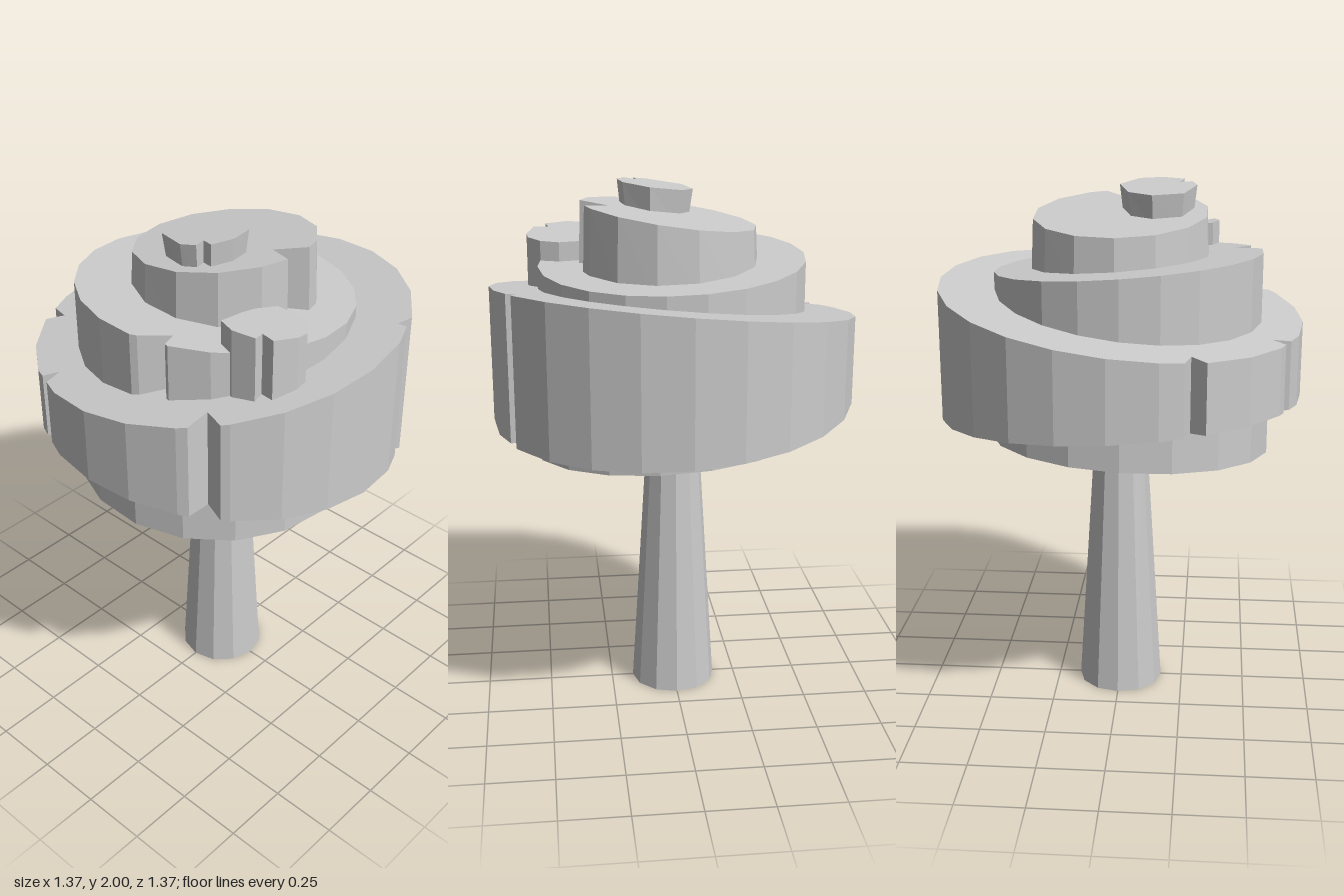
import * as THREE from 'three';

const material = new THREE.MeshStandardMaterial({ color: 0xcccccc, flatShading: true });

// Tilted plane: height at (x, z)
const plane = (y, sx, sz) => (x, z) => y + sx * x + sz * z;

// Regular outline of [x, z] points with V-shaped notches, each [start, tip, end]
function notchedRing(cx, cz, r, sides, notches = []) {
  const angle = ([x, z]) => Math.atan2(z - cz, x - cx);
  const entries = notches.map((n) => ({ a: angle(n[0]), pts: n }));
  for (let i = 0; i < sides; i++) {
    const a = -Math.PI + ((i + 0.001) / sides) * Math.PI * 2;
    if (notches.some((n) => a > angle(n[0]) - 0.02 && a < angle(n[2]) + 0.02)) continue;
    entries.push({ a, pts: [[cx + r * Math.cos(a), cz + r * Math.sin(a)]] });
  }
  return entries.sort((p, q) => p.a - q.a).flatMap((e) => e.pts);
}

// Slab between two tilted planes; flare moves the points of the lower outline
function slab(name, outline, bottom, top, flare = (x, z) => [x, z]) {
  const shape = new THREE.Shape(outline.map(([x, z]) => new THREE.Vector2(x, -z)));
  const geo = new THREE.ExtrudeGeometry(shape, { depth: 1, bevelEnabled: false });
  geo.rotateX(-Math.PI / 2);
  const p = geo.attributes.position;
  for (let i = 0; i < p.count; i++) {
    const x = p.getX(i), z = p.getZ(i);
    if (p.getY(i) > 0.5) p.setY(i, top(x, z));
    else {
      const [fx, fz] = flare(x, z);
      p.setXYZ(i, fx, bottom(x, z), fz);
    }
  }
  geo.computeVertexNormals();
  const mesh = new THREE.Mesh(geo, material);
  mesh.name = name;
  return mesh;
}

const scaleAbout = (cx, cz, s) => (x, z) => [cx + (x - cx) * s, cz + (z - cz) * s];

export function createModel() {
  const group = new THREE.Group();
  group.name = 'layeredTree';

  // Tapered trunk
  const trunk = new THREE.Mesh(new THREE.CylinderGeometry(0.1, 0.165, 1.06, 12), material);
  trunk.position.y = 0.53;
  trunk.name = 'trunk';
  group.add(trunk);

  // Underside layer
  group.add(slab('lowerCrown', notchedRing(0.005, 0.035, 0.535, 18),
    plane(1.02, -0.065, -0.045), plane(1.25, 0, 0)));

  // Widest layer with four notches
  group.add(slab('mainCrown', notchedRing(0, 0, 0.685, 24, [
    [[0.6, -0.33], [0.58, -0.275], [0.62, -0.275]],
    [[0.46, 0.505], [0.37, 0.47], [0.375, 0.57]],
    [[-0.255, 0.63], [-0.265, 0.56], [-0.3, 0.61]],
    [[-0.6, 0.335], [-0.555, 0.28], [-0.63, 0.26]],
  ]), plane(1.16, -0.06, 0.065), plane(1.565, 0.095, -0.11)));

  // Second layer
  group.add(slab('middleCrown', notchedRing(0, 0.03, 0.503, 22, [
    [[0.195, 0.485], [0.17, 0.42], [0.095, 0.515]],
  ]), plane(1.45, 0, 0), plane(1.71, -0.035, 0.08)));

  // Third layer
  group.add(slab('upperCrown', notchedRing(0.015, 0, 0.328, 14, [
    [[0.33, -0.08], [0.235, 0], [0.34, 0.045]],
  ]), plane(1.64, 0, 0), plane(1.885, 0.145, 0.02), scaleAbout(0.015, 0, 1.03)));

  // Small cap on top
  group.add(slab('topCap', [
    [-0.09, 0.12], [-0.04, 0.03], [0.085, -0.01], [0.18, 0.06], [0.195, 0.15], [0.165, 0.23],
    [0.115, 0.215], [0.125, 0.26], [0.07, 0.28], [-0.06, 0.235],
  ], plane(1.84, 0, 0), plane(1.973, 0.13, 0.01), scaleAbout(0.06, 0.14, 0.88)));

  // Side stub growing out of the second layer
  group.add(slab('sideStub', [
    [0.34, 0.09], [0.42, 0.085], [0.49, 0.115], [0.535, 0.17], [0.54, 0.22], [0.51, 0.31],
    [0.455, 0.3], [0.465, 0.345], [0.38, 0.365], [0.31, 0.34], [0.305, 0.235], [0.31, 0.17],
  ], plane(1.5, 0, 0), plane(1.775, -0.03, 0.14),
  (x, z) => [x < 0.308 ? x - 0.08 : x, z]));

  return group;
}
